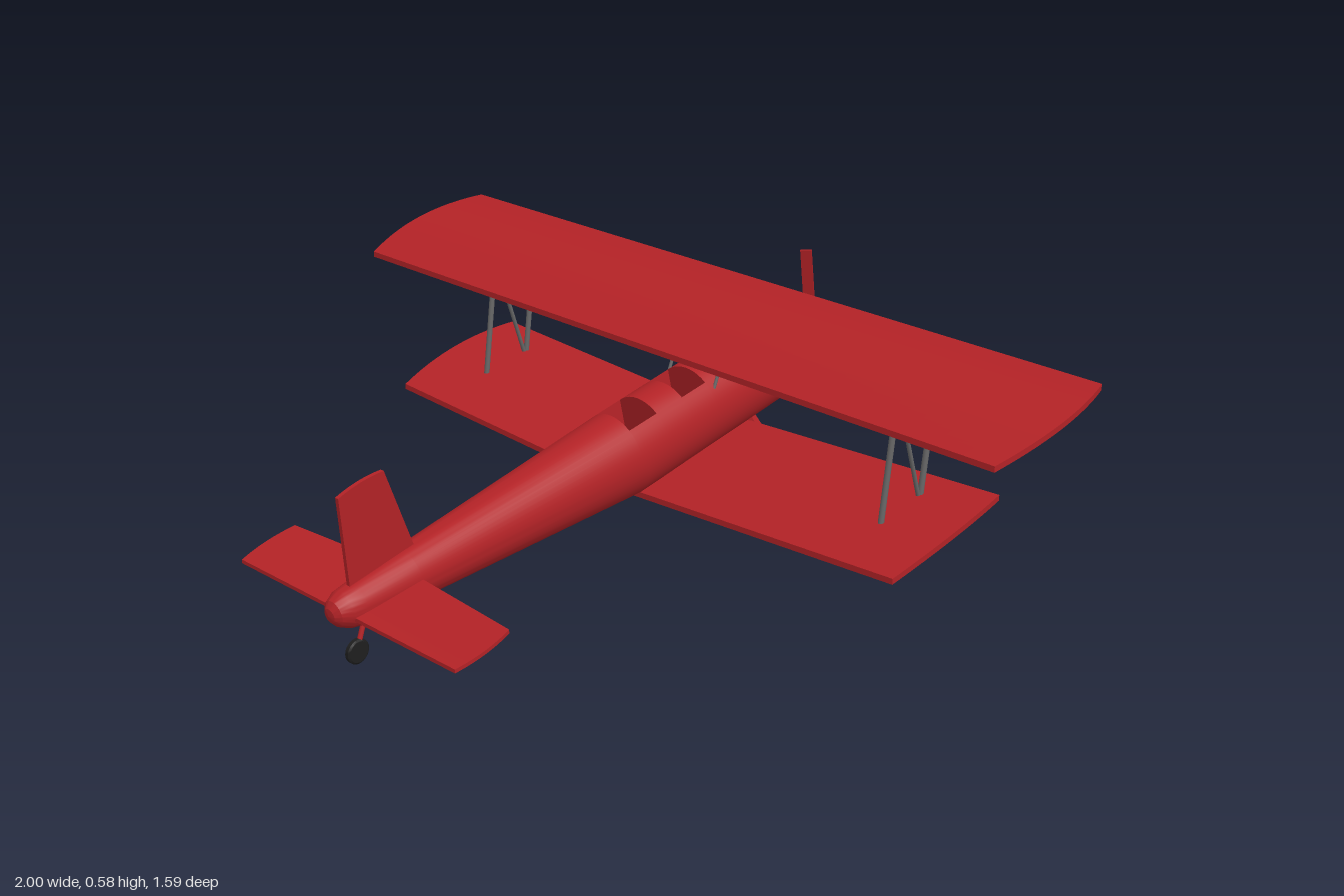
import * as THREE from 'three';
import { toCreasedNormals } from 'three/addons/utils/BufferGeometryUtils.js';

const RED = new THREE.MeshStandardMaterial({ color: 0xb22226 });
const GREY = new THREE.MeshStandardMaterial({ color: 0x666666 });
const BLACK = new THREE.MeshStandardMaterial({ color: 0x1e1e1e });
const TILT = 0.146; // nose-up attitude on the ground

function add(parent, name, geometry, material) {
  const mesh = new THREE.Mesh(geometry, material);
  mesh.name = name;
  parent.add(mesh);
  return mesh;
}

// Straight member between two points
function bar(parent, name, a, b, geometryOf, material) {
  const from = new THREE.Vector3(...a), to = new THREE.Vector3(...b);
  const dir = to.clone().sub(from);
  const mesh = add(parent, name, geometryOf(dir.length()), material);
  mesh.position.copy(from).addScaledVector(dir, 0.5);
  mesh.quaternion.setFromUnitVectors(new THREE.Vector3(0, 1, 0), dir.normalize());
  return mesh;
}
const rod = (r) => (len) => new THREE.CylinderGeometry(r, r, len, 12);

// Round body lofted along z, with two open cockpits cut into the top
function fuselageGeometry() {
  // z, centre y, half width, half height
  const stations = [
    [-0.69, 0.356, 0.055, 0.055], [-0.59, 0.334, 0.1, 0.104], [-0.075, 0.2385, 0.096, 0.1065],
    [0.58, 0.159, 0.057, 0.062], [0.72, 0.142, 0.046, 0.05], [0.755, 0.14, 0.041, 0.044],
    [0.78, 0.139, 0.029, 0.031], [0.791, 0.138, 0.016, 0.017], [0.795, 0.138, 0, 0]];
  const section = (z) => {
    const i = Math.max(1, stations.findIndex((s) => s[0] >= z));
    const a = stations[i - 1], b = stations[i];
    return a.map((v, k) => THREE.MathUtils.lerp(v, b[k], (z - a[0]) / (b[0] - a[0])));
  };
  const rings = stations.map((s) => ({ s, open: false }));
  rings.unshift({ s: [-0.69, 0.356, 0, 0], open: false });
  const cut = [];
  for (const [z0, z1] of [[-0.315, -0.235], [-0.15, -0.06]]) {
    cut.push({ s: section(z0), open: false }, { s: section(z0), open: true });
    if (z1 > -0.075) cut.push({ s: section(-0.075), open: true });
    cut.push({ s: section(z1), open: true }, { s: section(z1), open: false });
  }
  rings.splice(3, 1, ...cut); // replaces the station lying inside the rear cockpit

  const n = 48, pos = [], index = [];
  rings.forEach(({ s: [z, cy, hw, hh], open }, i) => {
    for (let j = 0; j <= n; j++) {
      const a = (j / n) * Math.PI * 2;
      const dy = open && Math.cos(a) > 0.8 ? -0.02 : Math.cos(a) * hh;
      pos.push(Math.sin(a) * hw, cy + dy, z + 0.15 * dy);
      if (i < rings.length - 1 && j < n) {
        const p = i * (n + 1) + j, q = p + n + 1;
        index.push(p, q, p + 1, p + 1, q, q + 1);
      }
    }
  });
  const g = new THREE.BufferGeometry();
  g.setAttribute('position', new THREE.Float32BufferAttribute(pos, 3));
  g.setIndex(index);
  return toCreasedNormals(g, 0.4);
}

// Cambered full-span surface: bowed tips, optional dihedral and leading-edge sweep
function wingGeometry({ span, tip, lead, trail, camber = 0, thick, dihedral = 0, sweep = 0 }) {
  const g = new THREE.BoxGeometry(2, 1, 1, 24, 1, 16);
  const p = g.attributes.position;
  for (let i = 0; i < p.count; i++) {
    const v = p.getY(i), t = p.getZ(i) + 0.5, bow = (2 * t - 1) ** 2;
    const x = p.getX(i) * (span - tip * bow);
    const y = THREE.MathUtils.lerp(lead[1], trail[1], t) + camber * (1 - bow)
      + v * thick + dihedral * Math.abs(x);
    const z = THREE.MathUtils.lerp(lead[0] + sweep * Math.abs(x), trail[0], t);
    p.setXYZ(i, x, y, z);
  }
  return toCreasedNormals(g, 0.5);
}

function addWheel(parent, name, r, w, x, y, z) {
  const pts = [[0, -w / 2], [r * 0.85, -w / 2], [r, -w * 0.3], [r, w * 0.3], [r * 0.85, w / 2], [0, w / 2]]
    .map((q) => new THREE.Vector2(...q));
  const wheel = add(parent, name, toCreasedNormals(new THREE.LatheGeometry(pts, 32), 0.5), BLACK);
  wheel.rotation.z = Math.PI / 2;
  wheel.position.set(x, y, z);
}

export function createModel() {
  const plane = new THREE.Group();
  plane.name = 'biplane';
  add(plane, 'fuselage', fuselageGeometry(), RED);

  // Wings and tailplane
  add(plane, 'upperWing', wingGeometry({
    span: 1, tip: 0.03, lead: [-0.542, 0.545], trail: [-0.162, 0.474], camber: 0.012, thick: 0.014 }), RED);
  add(plane, 'lowerWing', wingGeometry({
    span: 0.8, tip: 0.017, lead: [-0.472, 0.209], trail: [-0.095, 0.138],
    camber: 0.012, thick: 0.014, dihedral: 0.05 }), RED);
  add(plane, 'tailplane', wingGeometry({
    span: 0.357, tip: 0.008, lead: [0.576, 0.163], trail: [0.755, 0.13], thick: 0.009, sweep: 0.085 }), RED);

  // Fin, drawn in (-z, y) and turned upright
  const finShape = new THREE.Shape();
  finShape.moveTo(-0.74, 0.15);
  finShape.lineTo(-0.55, 0.15);
  finShape.lineTo(-0.56, 0.225);
  finShape.lineTo(-0.634, 0.421);
  finShape.quadraticCurveTo(-0.7, 0.42, -0.757, 0.397);
  finShape.lineTo(-0.738, 0.19);
  const finGeometry = new THREE.ExtrudeGeometry(finShape, { depth: 0.01, bevelEnabled: false });
  finGeometry.translate(0, 0, -0.005).rotateY(Math.PI / 2);
  add(plane, 'fin', finGeometry, RED);

  for (const s of [-1, 1]) {
    // N-shaped struts between the wings
    const x = 0.635 * s;
    bar(plane, 'rearWingStrut', [x, 0.19, -0.24], [x, 0.505, -0.278], rod(0.007), GREY);
    bar(plane, 'frontWingStrut', [x, 0.22, -0.381], [x, 0.53, -0.418], rod(0.007), GREY);
    bar(plane, 'diagonalWingStrut', [x, 0.225, -0.379], [x, 0.505, -0.282], rod(0.005), GREY);

    // Struts from the body to the upper wing
    const c = 0.073 * s;
    bar(plane, 'rearCabaneStrut', [c, 0.34, -0.315], [c, 0.525, -0.39], rod(0.004), GREY);
    bar(plane, 'diagonalCabaneStrut', [c, 0.37, -0.475], [c, 0.53, -0.415], rod(0.004), GREY);
    bar(plane, 'frontCabaneStrut', [c, 0.37, -0.472], [c, 0.54, -0.482], rod(0.004), GREY);

    // Main gear
    bar(plane, 'gearLeg', [0.04 * s, 0.235, -0.483], [0.18 * s, 0.055, -0.518],
      (len) => new THREE.BoxGeometry(0.012, len, 0.032), RED);
    addWheel(plane, 'mainWheel', 0.054, 0.028, 0.185 * s, 0.057, -0.52);
  }

  // Tail wheel
  bar(plane, 'tailWheelLeg', [0, 0.11, 0.695], [0, 0.03, 0.723], rod(0.006), RED);
  addWheel(plane, 'tailWheel', 0.029, 0.015, 0, 0.029, 0.723);

  // Engine ring with a recessed front
  const ringPts = [[0, -0.025], [0.073, -0.025], [0.073, 0.025], [0.056, 0.025], [0.052, 0.012], [0, 0.012]]
    .map((q) => new THREE.Vector2(...q));
  const ring = add(plane, 'engineRing', toCreasedNormals(new THREE.LatheGeometry(ringPts, 40), 0.5), GREY);
  ring.rotation.x = TILT - Math.PI / 2;
  ring.position.set(0, 0.357, -0.712);

  // Propeller
  const propeller = new THREE.Group();
  propeller.name = 'propeller';
  propeller.position.set(0, 0.365, -0.763);
  propeller.rotation.x = TILT;
  plane.add(propeller);
  const hub = add(propeller, 'hub', new THREE.CylinderGeometry(0.018, 0.022, 0.055, 24), RED);
  hub.rotation.x = -Math.PI / 2;
  hub.position.z = 0.012;
  const spinner = add(propeller, 'spinner', new THREE.CylinderGeometry(0.005, 0.008, 0.015, 16), RED);
  spinner.rotation.x = -Math.PI / 2;
  spinner.position.z = -0.02;
  for (let i = 0; i < 3; i++) {
    const arm = new THREE.Group();
    arm.name = 'bladeArm';
    arm.rotation.z = (i * Math.PI * 2) / 3;
    const blade = add(arm, 'blade', new THREE.BoxGeometry(0.028, 0.215, 0.006), RED);
    blade.position.y = 0.1075;
    blade.rotation.y = 0.5;
    propeller.add(arm);
  }
  return plane;
}
